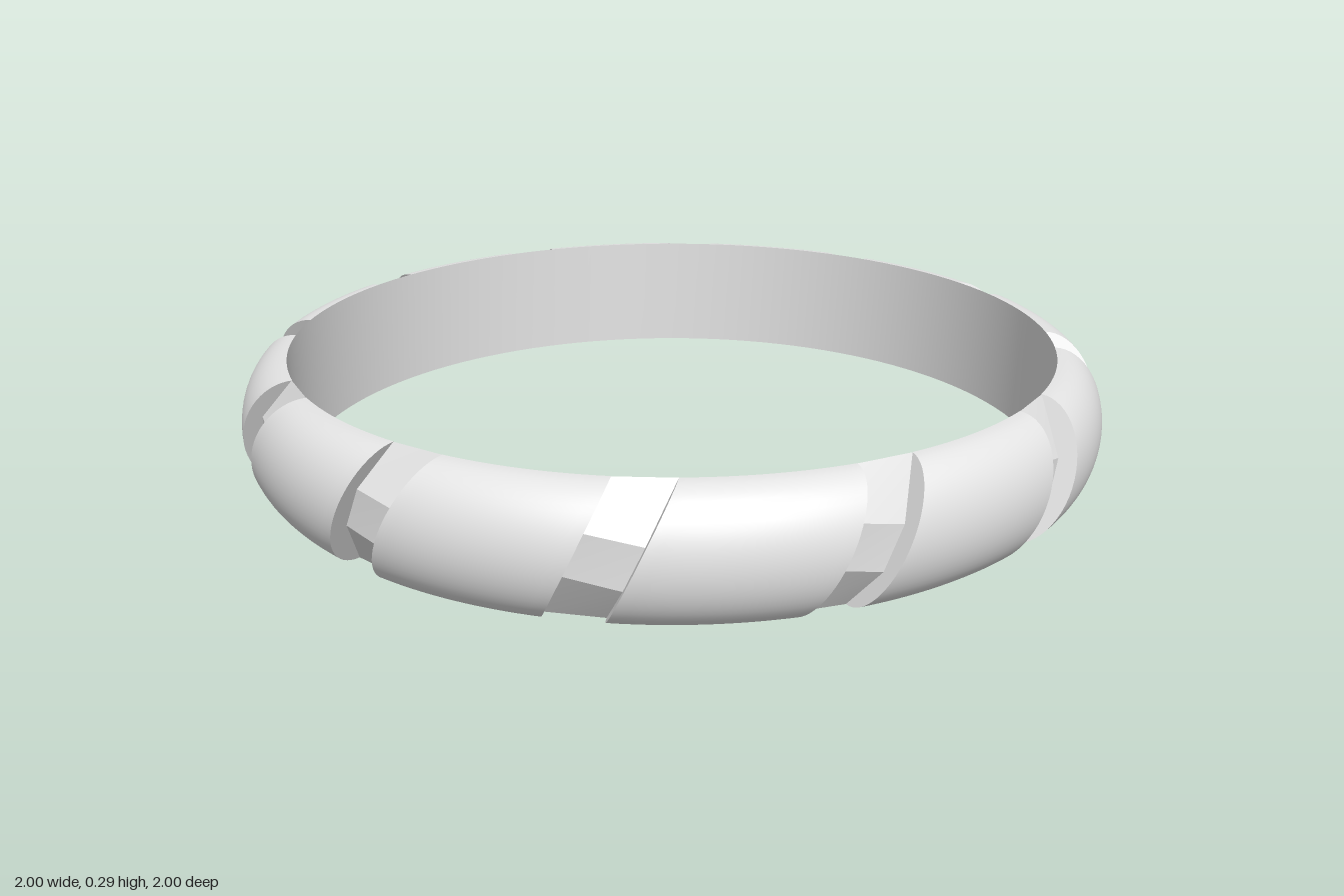
import * as THREE from 'three';
import { mergeGeometries } from 'three/addons/utils/BufferGeometryUtils.js';

const COUNT = 12, STEP = (Math.PI * 2) / COUNT, FIRST = THREE.MathUtils.degToRad(10.15);
const MID = 0.145, INNER = 0.891, BULGE = 0.109;
const SLANT = 0.47, HALF = 0.062; // groove slope and half width

const polar = (angle, r, y) => [r * Math.sin(angle), y, r * Math.cos(angle)];

// Angle of a slanted groove's edge; side is -1 or 1
const edge = (side, r, y) => Math.asin((SLANT * (y - MID) + side * HALF) / r);

// Surface from a rule point(u, v), facing the viewer when u runs right and v up
function grid(point, nu, nv) {
  const pos = [], index = [];
  for (let j = 0; j <= nv; j++)
    for (let i = 0; i <= nu; i++) pos.push(...point(i / nu, j / nv));
  for (let j = 0; j < nv; j++)
    for (let i = 0; i < nu; i++) {
      const a = j * (nu + 1) + i, d = a + nu + 1;
      index.push(a, a + 1, d + 1, a, d + 1, d);
    }
  const g = new THREE.BufferGeometry();
  g.setAttribute('position', new THREE.Float32BufferAttribute(pos, 3));
  g.setIndex(index);
  g.computeVertexNormals();
  return g;
}

// Half-ellipse outer profile, v from bottom to top
const profile = (v) => ({
  y: MID - MID * Math.cos(Math.PI * v),
  r: INNER + BULGE * Math.sin(Math.PI * v),
});

// Raised pad between two grooves: rounded outside and two flat ends
function padGeometry() {
  const outer = grid((u, v) => {
    const { y, r } = profile(v);
    const a = edge(1, r, y), b = STEP + edge(-1, r, y);
    return polar(a + (b - a) * u, r, y);
  }, 14, 28);
  const end = (side, base) => grid((u, v) => {
    const { y, r } = profile(v);
    const rr = (side > 0 ? u : 1 - u) > 0.5 ? r : INNER;
    return polar(base + edge(side, rr, y), rr, y);
  }, 1, 28);
  return mergeGeometries([outer, end(1, 0), end(-1, STEP)]);
}

// Groove floor: three flat facets, with creases square to the groove
function floorGeometry() {
  const rows = [[0.892, 0, 0], [0.956, 0.1, 0.011], [0.956, 0.19, 0.011], [0.892, 0.29, 0]];
  const facets = [];
  for (let k = 0; k < 3; k++)
    facets.push(grid((u, v) => {
      const [r, y0, tilt] = rows[k + v];
      const side = u * 2 - 1, y = y0 - side * tilt;
      return polar(edge(side, r, y), r, y);
    }, 1, 1));
  return mergeGeometries(facets);
}

export function createModel() {
  const metal = new THREE.MeshStandardMaterial({ color: 0xe4e4e4 });
  metal.name = 'light grey metal';
  const ring = new THREE.Group();
  ring.name = 'groovedRing';

  // Smooth inner wall, facing the axis
  const inner = new THREE.Mesh(
    grid((u, v) => polar(-u * Math.PI * 2, INNER, v * MID * 2), 120, 1), metal);
  inner.name = 'innerWall';
  ring.add(inner);

  // Pads and grooves around the ring
  const padGeo = padGeometry(), floorGeo = floorGeometry();
  for (let i = 0; i < COUNT; i++) {
    const pad = new THREE.Mesh(padGeo, metal);
    pad.name = 'raisedPad';
    const floor = new THREE.Mesh(floorGeo, metal);
    floor.name = 'grooveFloor';
    pad.rotation.y = floor.rotation.y = FIRST + i * STEP;
    ring.add(pad, floor);
  }
  return ring;
}
